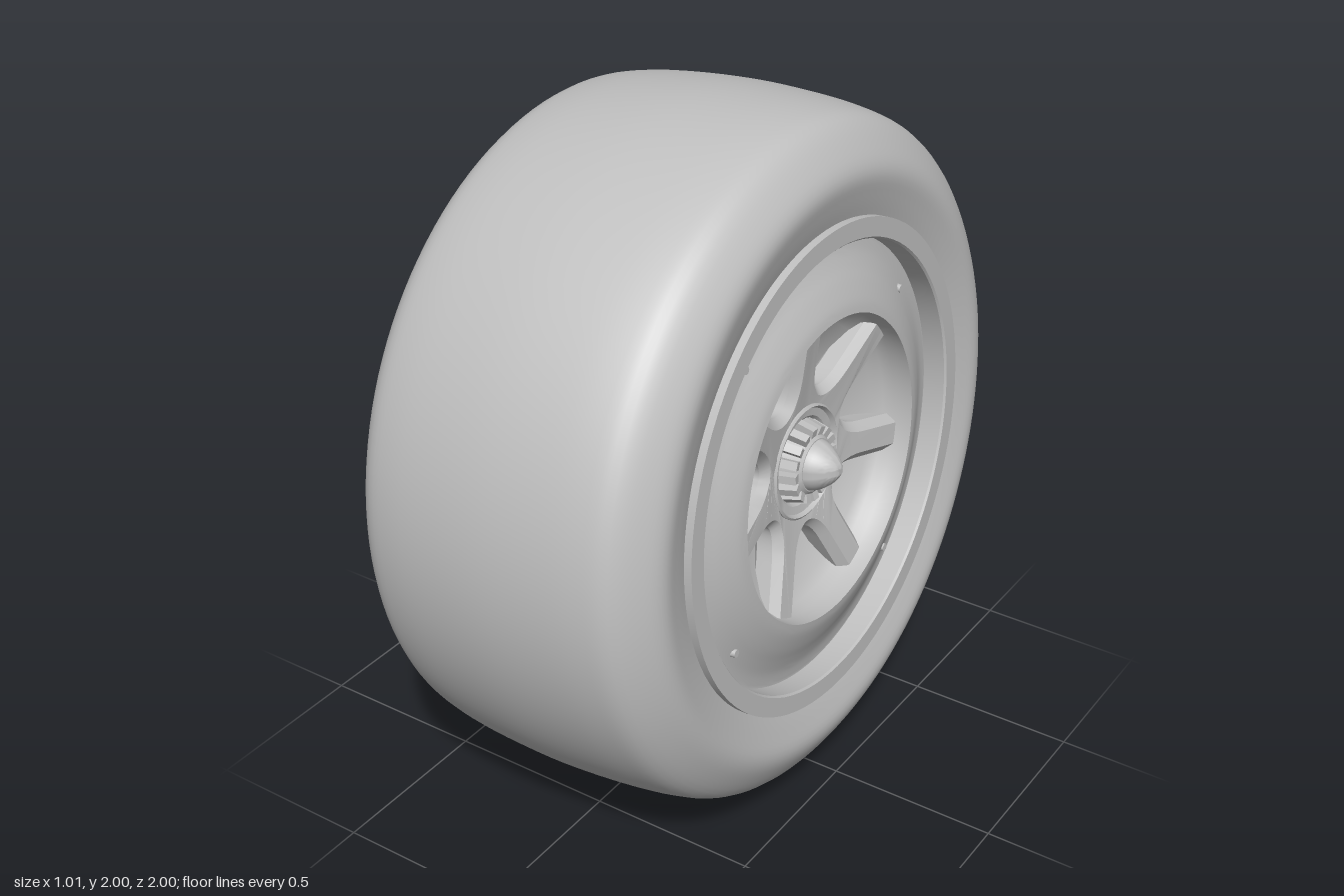
import * as THREE from 'three';
import { mergeGeometries, toCreasedNormals } from 'three/addons/utils/BufferGeometryUtils.js';

const SPOKES = 7;
const CAMBER = 0.049;

export function createModel() {
  const model = new THREE.Group();
  model.name = 'racingWheel';
  const grey = new THREE.MeshStandardMaterial({ color: 0xc0c0c0 });
  grey.name = 'plainGrey';

  // The wheel is turned about local y, then laid over so y becomes the axle
  const wheel = new THREE.Group();
  wheel.name = 'wheel';
  wheel.rotation.z = -Math.PI / 2 + CAMBER;
  wheel.position.y = 0.999;
  model.add(wheel);

  const add = (name, geometry) => {
    const mesh = new THREE.Mesh(geometry, grey);
    mesh.name = name;
    wheel.add(mesh);
    return mesh;
  };
  const vec = ([r, y]) => new THREE.Vector2(r, y);
  const lathe = (points, segments = 96, crease = 0.6) =>
    toCreasedNormals(new THREE.LatheGeometry(points, segments), crease);

  // Tyre: half section mirrored across the centre line, smoothed by a spline
  const half = [[0.69, 0.432], [0.755, 0.452], [0.82, 0.464], [0.88, 0.44],
    [0.95, 0.382], [0.976, 0.3], [0.991, 0.17]];
  const section = [...half.map(([r, y]) => [r, -y]), [0.998, 0], ...half.slice().reverse()];
  add('tyre', lathe(new THREE.SplineCurve(section.map(vec)).getPoints(56), 128, 1));

  // Rim: raised front lip, recessed edge, domed cover, bowl
  const cover = new THREE.SplineCurve([[0.638, 0.385], [0.60, 0.393], [0.56, 0.409],
    [0.52, 0.428], [0.47, 0.448], [0.438, 0.455]].map(vec)).getPoints(20);
  add('rimFront', lathe([
    ...[[0.70, 0.41], [0.70, 0.458], [0.645, 0.458], [0.64, 0.452], [0.64, 0.385]].map(vec),
    ...cover,
    ...[[0.434, 0.40], [0.42, 0.37], [0.39, 0.345], [0.30, 0.30], [0.17, 0.265], [0, 0.25]].map(vec),
  ]));

  // Rim back: closed disc, open barrel, raised rear lip
  add('rimBarrel', lathe([[0, 0.19], [0.3, 0.21], [0.55, 0.235], [0.632, 0.255],
    [0.632, -0.452], [0.64, -0.458], [0.70, -0.458], [0.70, -0.41]].map(vec)));

  // Spokes: a plate with rounded windows, dished toward the hub
  const plate = new THREE.Shape().absarc(0, 0, 0.485, 0, Math.PI * 2, false);
  plate.holes.push(new THREE.Path().absarc(0, 0, 0.13, 0, Math.PI * 2, true));
  const step = Math.PI * 2 / SPOKES, halfWidth = 0.032, outer = 0.468;
  const apex = halfWidth / Math.sin(step / 2);
  const spread = step / 2 - Math.asin(halfWidth / outer);
  for (let i = 0; i < SPOKES; i++) {
    const mid = Math.PI + (i + 0.5) * step;
    const edge = (side, along) => [
      apex * Math.cos(mid) + along * Math.cos(mid + side * step / 2),
      apex * Math.sin(mid) + along * Math.sin(mid + side * step / 2)];
    const hole = new THREE.Path();
    hole.moveTo(...edge(-1, 0.22));
    hole.absarc(0, 0, outer, mid - spread, mid + spread, false);
    hole.lineTo(...edge(1, 0.22));
    hole.bezierCurveTo(...edge(1, 0.095), ...edge(-1, 0.095), ...edge(-1, 0.22));
    plate.holes.push(hole);
  }
  const spokes = new THREE.ExtrudeGeometry(plate, { depth: 0.05, bevelEnabled: true,
    bevelSize: 0.025, bevelThickness: 0.025, bevelSegments: 1, curveSegments: 14 });
  spokes.rotateX(-Math.PI / 2);
  const pos = spokes.attributes.position;
  for (let i = 0; i < pos.count; i++) {
    const r = Math.hypot(pos.getX(i), pos.getZ(i));
    pos.setY(i, pos.getY(i) - 0.075 + 0.36 + 0.17 * (r - 0.16));
  }
  spokes.computeVertexNormals();
  add('spokes', toCreasedNormals(spokes, 0.5));

  // Hub ring with a tapered recess
  add('hubRing', lathe([[0.166, 0.24], [0.166, 0.366], [0.16, 0.37],
    [0.13, 0.325], [0.128, 0.30], [0, 0.30]].map(vec), 64));

  // Wheel nut: tapered core, ring of teeth and a pointed tip
  add('nutCore', lathe([[0.108, 0.29], [0.086, 0.39], [0.076, 0.398], [0, 0.398]].map(vec), 48));
  const teeth = [];
  for (let i = 0; i < 16; i++) {
    teeth.push(new THREE.BoxGeometry(0.036, 0.1, 0.024)
      .rotateZ(0.25).translate(0.103, 0.345, 0).rotateY(i * Math.PI / 8));
  }
  add('nutTeeth', mergeGeometries(teeth));
  const tip = new THREE.SplineCurve([[0.077, 0.38], [0.067, 0.415], [0.043, 0.45],
    [0.016, 0.472], [0, 0.476]].map(vec)).getPoints(16);
  add('nutTip', lathe(tip, 48, 1));

  // Four small pegs on the cover
  for (let i = 0; i < 4; i++) {
    const a = 0.67 + i * Math.PI / 2;
    add('coverPeg', new THREE.CylinderGeometry(0.011, 0.014, 0.024, 16))
      .position.set(-0.57 * Math.cos(a), 0.402, 0.57 * Math.sin(a));
  }
  return model;
}
